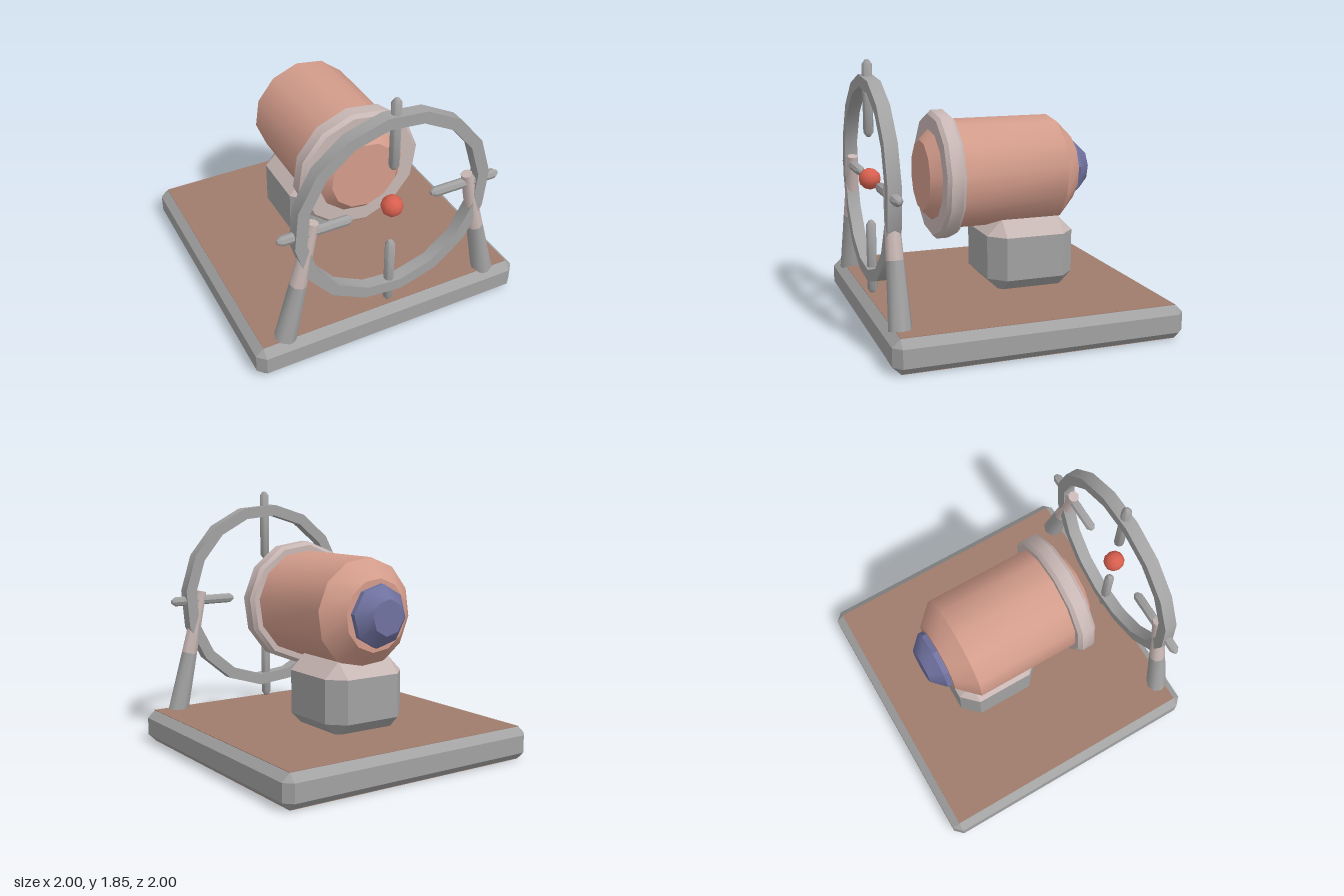
import * as THREE from 'three';
import { toCreasedNormals } from 'three/addons/utils/BufferGeometryUtils.js';
import { ConvexGeometry } from 'three/addons/geometries/ConvexGeometry.js';

const mat = (name, color) => {
  const m = new THREE.MeshStandardMaterial({ color });
  m.name = name;
  return m;
};

export function createModel() {
  const grey = mat('grey', 0xa2a2a2);
  const paleGrey = mat('paleGrey', 0xc8b7b4);
  const salmon = mat('salmon', 0xd39c8b);
  const brown = mat('brown', 0x9f7b6c);
  const red = mat('red', 0xd9604f);
  const violet = mat('violet', 0x6f719f);

  const model = new THREE.Group();
  model.name = 'mountedBarrel';
  const add = (name, geometry, material, x = 0, y = 0, z = 0) => {
    const mesh = new THREE.Mesh(geometry, material);
    mesh.name = name;
    mesh.position.set(x, y, z);
    model.add(mesh);
    return mesh;
  };

  // Convex block from square levels [half width, corner cut, y]
  const block = (levels) => {
    const pts = [];
    for (const [h, cut, y] of levels)
      for (const sx of [-1, 1]) for (const sz of [-1, 1]) {
        pts.push(new THREE.Vector3(sx * h, y, sz * (h - cut)));
        if (cut > 0) pts.push(new THREE.Vector3(sx * (h - cut), y, sz * h));
      }
    return new ConvexGeometry(pts);
  };

  // Turned shape along z from [radius, z] pairs listed back to front
  const turned = (profile, sides, startDeg) => {
    const g = new THREE.LatheGeometry(
      profile.map(([r, z]) => new THREE.Vector2(r, z)), sides,
      THREE.MathUtils.degToRad(startDeg));
    g.rotateX(Math.PI / 2);
    return toCreasedNormals(g, 0.6);
  };

  // Base slab with brown top and underside
  add('baseFrame', block([[0.945, 0, 0.003], [1, 0.055, 0.055], [1, 0.055, 0.18], [0.945, 0, 0.232]]), grey);
  const plate = new THREE.BoxGeometry(1.89, 0.004, 1.89);
  add('baseTop', plate, brown, 0, 0.233, 0);
  add('baseUnderside', plate, brown, 0, 0.002, 0);

  // Pedestal
  add('pedestal', block([[0.21, 0, 0.205], [0.32, 0.11, 0.315], [0.32, 0.11, 0.62]]), grey, 0, 0, -0.19);
  add('pedestalTop', block([[0.32, 0.11, 0.62], [0.21, 0, 0.73]]), paleGrey, 0, 0, -0.19);

  // Barrel, front collar and rear cap
  const cy = 1.042;
  add('barrel', turned([[0, -0.545], [0.25, -0.545], [0.383, -0.41], [0.383, 0.41], [0.248, 0.545], [0, 0.545]], 12, 7), salmon, 0, cy, 0);
  add('collar', turned([[0.36, 0.342], [0.425, 0.342], [0.45, 0.367], [0.45, 0.452], [0.425, 0.477], [0.3, 0.477]], 12, 7), paleGrey, 0, cy, 0);
  add('rearCap', turned([[0, -0.672], [0.125, -0.672], [0.216, -0.582], [0.216, -0.53], [0, -0.53]], 8, 7), violet, 0, cy, 0);

  // Sighting ring with centre ball
  const ringZ = 0.902;
  add('sightRing', turned([[0.625, -0.045], [0.708, -0.045], [0.708, 0.045], [0.625, 0.045], [0.625, -0.045]], 16, 6), grey, 0, cy, ringZ);
  const ball = new THREE.SphereGeometry(0.075, 10, 6);
  ball.rotateX(Math.PI / 2);
  add('centreBall', ball, red, 0, cy, ringZ);

  // Four pointed pins crossing the ring
  const pin = turned([[0, -0.262], [0.015, -0.257], [0.035, -0.228], [0.035, 0.228], [0.015, 0.257], [0, 0.262]], 8, 0);
  pin.rotateX(Math.PI / 2);
  for (let i = 0; i < 4; i++) {
    const a = i * Math.PI / 2;
    add('sightPin', pin, grey, Math.cos(a) * 0.547, cy + Math.sin(a) * 0.547, ringZ)
      .rotation.z = a - Math.PI / 2;
  }

  // Tapered legs, pale in the upper half
  const strut = (name, from, to, r0, r1, material) => {
    const dir = to.clone().sub(from);
    const g = toCreasedNormals(new THREE.CylinderGeometry(r1, r0, dir.length(), 8), 0.9);
    const mesh = add(name, g, material);
    mesh.position.copy(from).lerp(to, 0.5);
    mesh.quaternion.setFromUnitVectors(new THREE.Vector3(0, 1, 0), dir.normalize());
  };
  for (const s of [-1, 1]) {
    const foot = new THREE.Vector3(s * 0.77, 0.22, ringZ);
    const top = new THREE.Vector3(s * 0.56, 1.108, ringZ);
    const mid = foot.clone().lerp(top, 0.48);
    strut('legLower', foot, mid, 0.077, 0.059, grey);
    strut('legUpper', mid, top, 0.059, 0.04, paleGrey);
  }

  return model;
}
